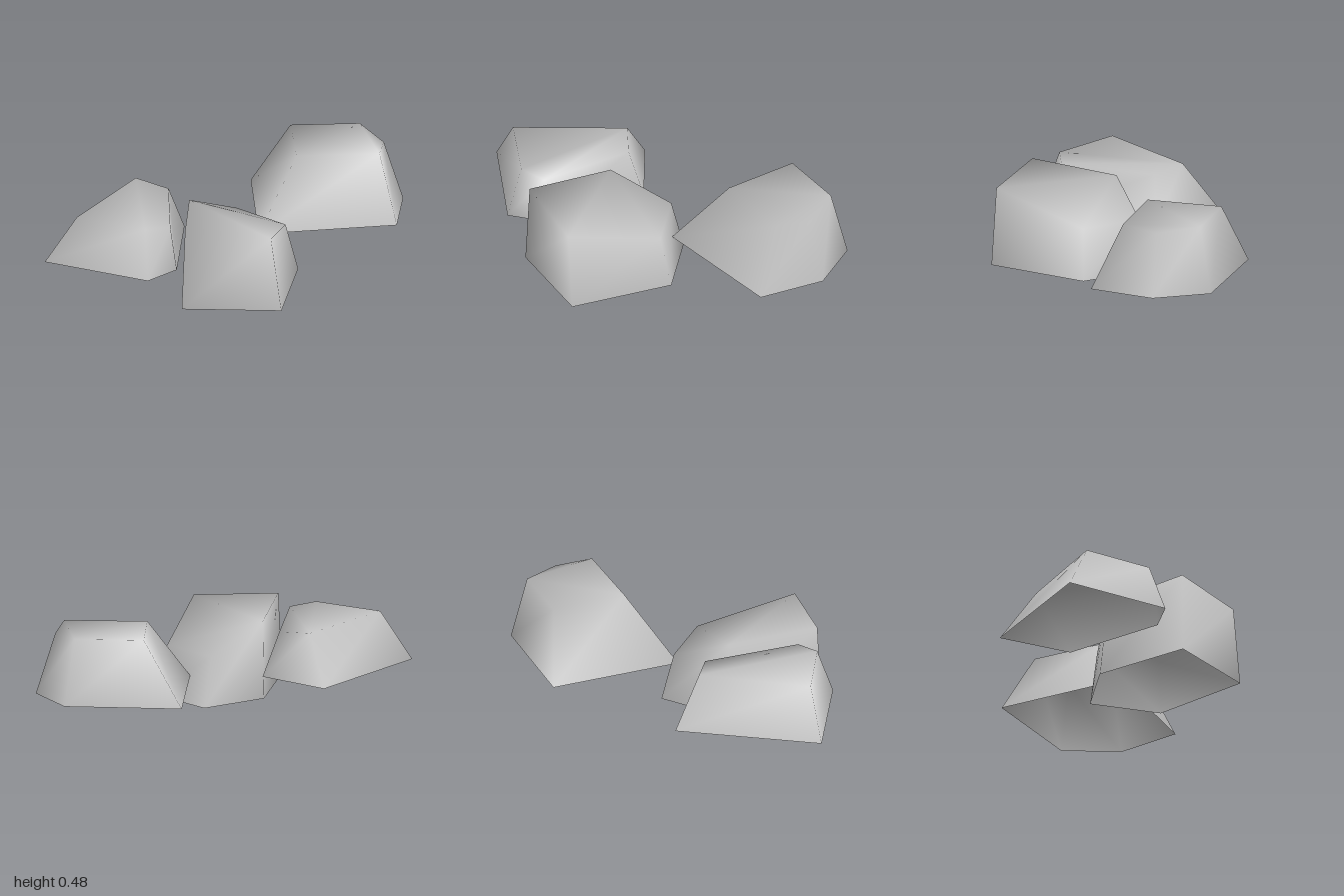
import * as THREE from 'three';

// Each rock: a five-sided base outline [x, z] at one height and a smaller top ring [x, y, z].
const ROCKS = [
  {
    name: 'rightRock', baseY: 0.16,
    base: [[-1, 0.11], [-0.47, -0.44], [-0.19, -0.15], [-0.37, 0.38], [-0.55, 0.48]],
    top: [[-0.84, 0.41, 0.15], [-0.42, 0.41, -0.26], [-0.28, 0.39, -0.13], [-0.4, 0.395, 0.365], [-0.54, 0.41, 0.39]],
  },
  {
    name: 'middleRock', baseY: 0,
    base: [[-0.38, 0.52], [-0.22, 0.02], [0.11, -0.14], [0.33, 0.17], [0.11, 0.67]],
    top: [[-0.36, 0.43, 0.51], [-0.22, 0.4, 0.06], [0.07, 0.26, -0.09], [0.26, 0.26, 0.18], [0.06, 0.4, 0.65]],
  },
  {
    name: 'leftRock', baseY: 0.14,
    base: [[0.3, -0.68], [0.89, -0.55], [1, -0.26], [0.88, 0.07], [0.165, 0]],
    top: [[0.48, 0.48, -0.56], [0.83, 0.48, -0.49], [0.9, 0.46, -0.27], [0.83, 0.48, -0.09], [0.41, 0.48, -0.17]],
  },
];

// Smooth shell with slanted sides and a faceted top, open underneath
function rockGeometry({ baseY, base, top }) {
  const n = base.length;
  const positions = [...base.flatMap(([x, z]) => [x, baseY, z]), ...top.flat()];
  const index = [];
  for (let i = 0; i < n; i++) {
    const j = (i + 1) % n;
    index.push(i, n + i, j, j, n + i, n + j);
  }
  // Top fan around the second corner, which follows the fold of the top
  for (let k = 2; k < n; k++) index.push(n + 1, n + ((k + 1) % n), n + k);

  const geometry = new THREE.BufferGeometry();
  geometry.setAttribute('position', new THREE.Float32BufferAttribute(positions, 3));
  geometry.setIndex(index);
  geometry.computeVertexNormals();
  return geometry;
}

export function createModel() {
  const model = new THREE.Group();
  model.name = 'rocks';
  const stone = new THREE.MeshStandardMaterial({ color: 0xc0c0c0, side: THREE.DoubleSide });
  stone.name = 'stone grey';
  for (const rock of ROCKS) {
    const mesh = new THREE.Mesh(rockGeometry(rock), stone);
    mesh.name = rock.name;
    model.add(mesh);
  }
  return model;
}
